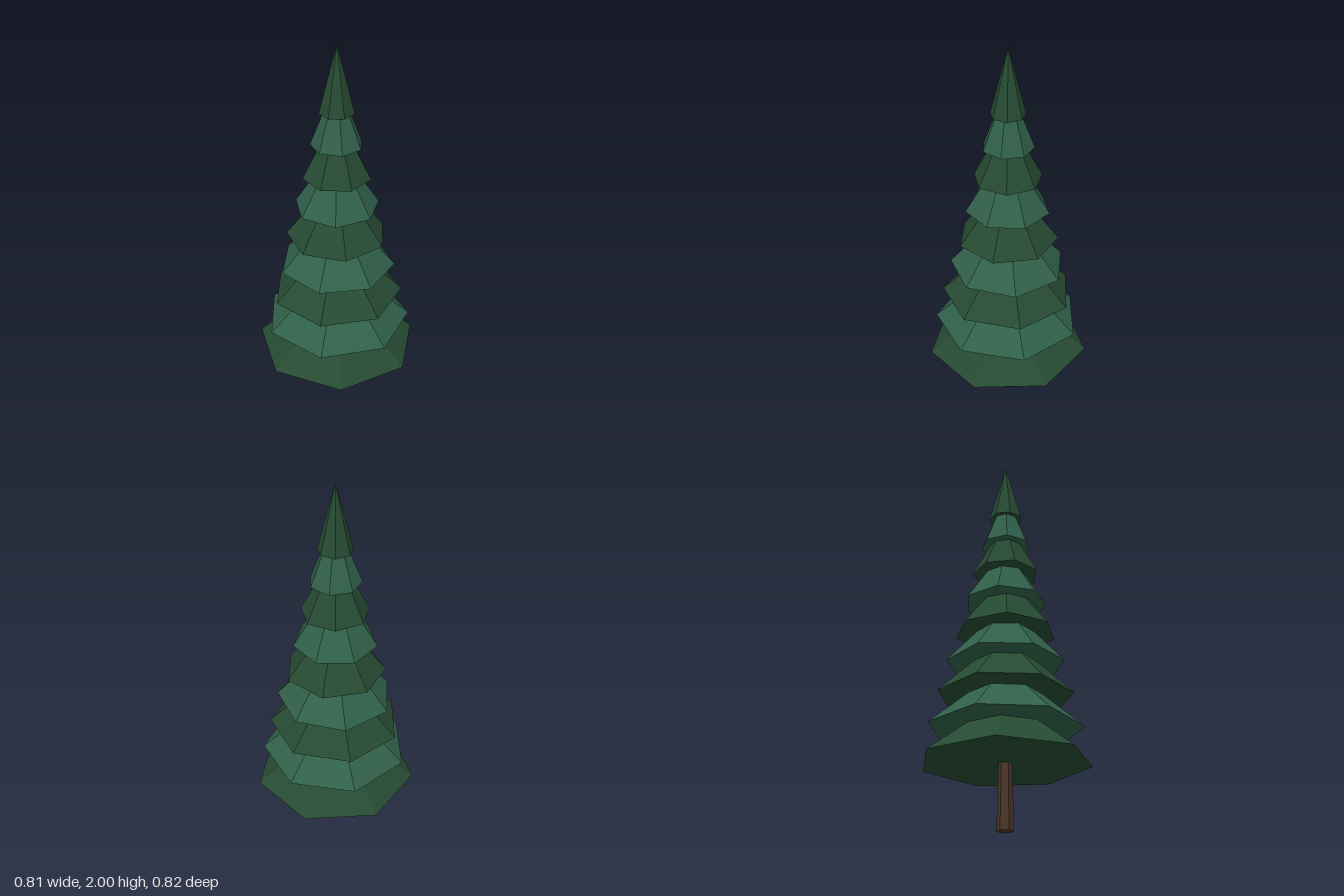
import * as THREE from 'three';

// Splits shared corners so every facet gets its own flat normal
function faceted(geometry) {
  const flat = geometry.toNonIndexed();
  flat.computeVertexNormals();
  return flat;
}

function material(name, color) {
  const m = new THREE.MeshStandardMaterial({ color });
  m.name = name;
  return m;
}

export function createModel() {
  const tree = new THREE.Group();
  tree.name = 'pineTree';

  const bark = material('brown bark', 0x4a3728);
  const greens = [material('dark green', 0x264a32), material('light green', 0x30604a)];

  // Slightly tapered six-sided trunk, reaching up into the lowest tier
  const trunkHeight = 0.42;
  const trunk = new THREE.Mesh(
    faceted(new THREE.CylinderGeometry(0.03, 0.041, trunkHeight, 6, 1, false, Math.PI / 6)), bark);
  trunk.name = 'trunk';
  trunk.position.y = trunkHeight / 2;
  tree.add(trunk);

  // Nine overlapping seven-sided cones, each twisted by its own angle in degrees
  const twists = [42.5, 27.7, 25.7, 22.6, 49.9, 38.1, 12.86, 0, 12.86];
  const coneHeight = 0.333;
  twists.forEach((twist, i) => {
    const radius = 0.423 - i * 0.042;
    const cone = new THREE.ConeGeometry(
      radius, coneHeight, 7, 1, false, THREE.MathUtils.degToRad(twist));
    const tier = new THREE.Mesh(faceted(cone), greens[i % 2]);
    tier.name = `foliageTier${i + 1}`;
    tier.position.y = 0.321 + i * 0.16825 + coneHeight / 2;
    tree.add(tier);
  });

  // Centre the uneven outline of the lowest tier on the origin
  tree.position.set(-0.014, 0, -0.007);
  return tree;
}
